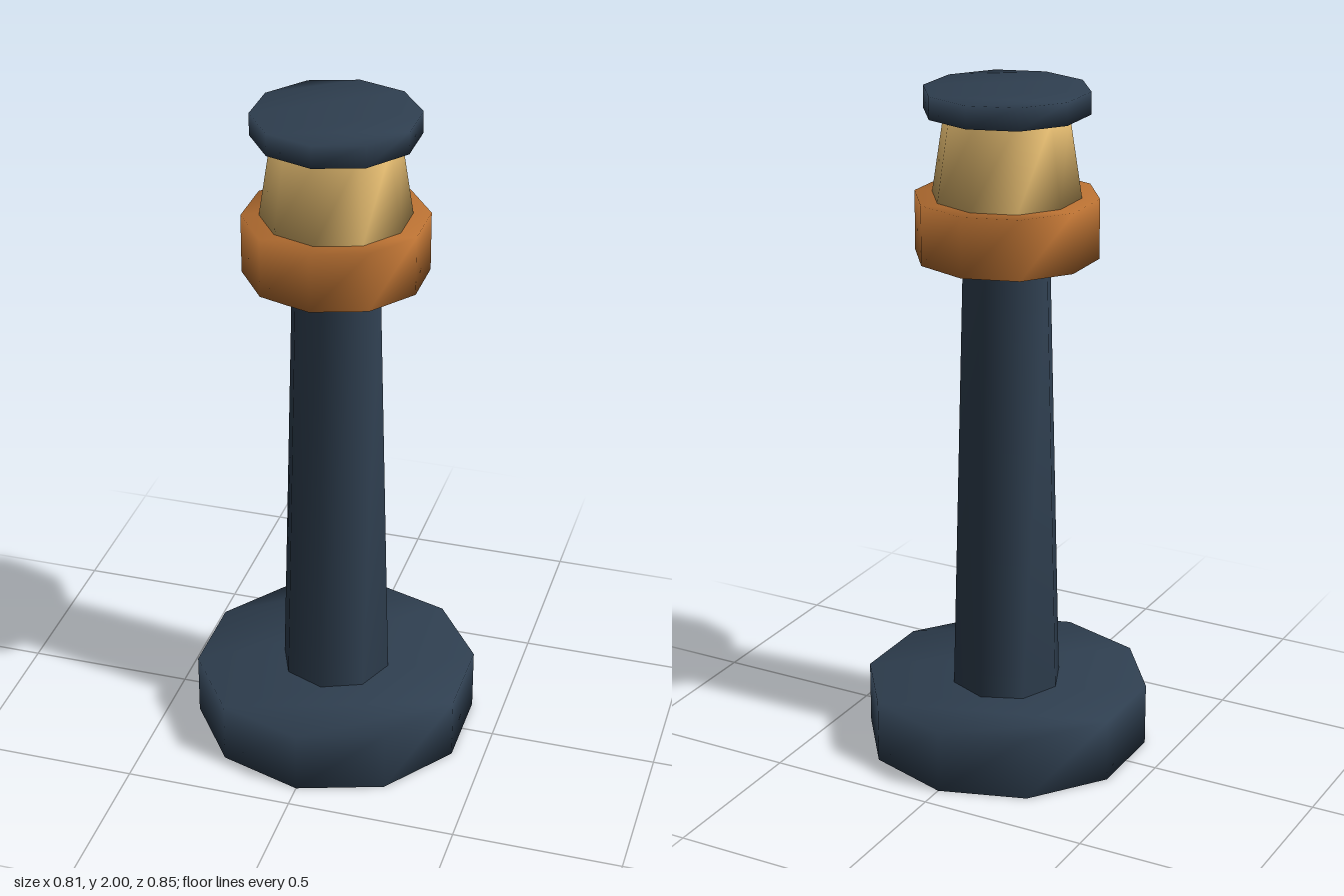
import * as THREE from 'three';

const mat = (name, color) => {
  const m = new THREE.MeshStandardMaterial({ color });
  m.name = name;
  return m;
};

// Closed tapered prism with normals shared between walls and caps
function prism(sides, rBottom, rTop, y0, y1) {
  const pos = [], idx = [];
  for (const [r, y] of [[rBottom, y0], [rTop, y1]]) {
    for (let i = 0; i < sides; i++) {
      const a = (i / sides) * Math.PI * 2;
      pos.push(r * Math.sin(a), y, r * Math.cos(a));
    }
  }
  const wrap = i => (i + sides) % sides;
  const cap = (a, b, c) => {
    a = wrap(a); b = wrap(b); c = wrap(c);
    idx.push(a + sides, b + sides, c + sides, a, c, b);
  };
  // Walls
  for (let i = 0; i < sides; i++) {
    const j = wrap(i + 1);
    idx.push(i, j, j + sides, i, j + sides, i + sides);
  }
  // Caps, in strips across the polygon
  cap(0, 1, 2);
  for (let j = 1; j < sides / 2 - 1; j++) {
    cap(-j, 1 - j, 1 + j);
    cap(-j, 1 + j, 2 + j);
  }
  cap(sides / 2, sides / 2 + 1, sides / 2 + 2);
  const g = new THREE.BufferGeometry();
  g.setAttribute('position', new THREE.Float32BufferAttribute(pos, 3));
  g.setIndex(idx);
  g.computeVertexNormals();
  return g;
}

export function createModel() {
  const group = new THREE.Group();
  group.name = 'lampPost';
  const iron = mat('dark iron', 0x2f3f50);
  const copper = mat('copper', 0xb87032);
  const glass = mat('warm glass', 0xe0b86e);

  // name, material, sides, bottom radius, top radius, bottom y, top y
  const parts = [
    ['base', iron, 10, 0.425, 0.425, 0, 0.19],
    ['shaft', iron, 8, 0.166, 0.13, 0.19, 1.52],
    ['collar', copper, 10, 0.266, 0.266, 1.52, 1.695],
    ['lantern', glass, 10, 0.215, 0.178, 1.695, 1.935],
    ['cap', iron, 10, 0.238, 0.238, 1.935, 2],
  ];
  for (const [name, material, ...dims] of parts) {
    const mesh = new THREE.Mesh(prism(...dims), material);
    mesh.name = name;
    group.add(mesh);
  }
  return group;
}
